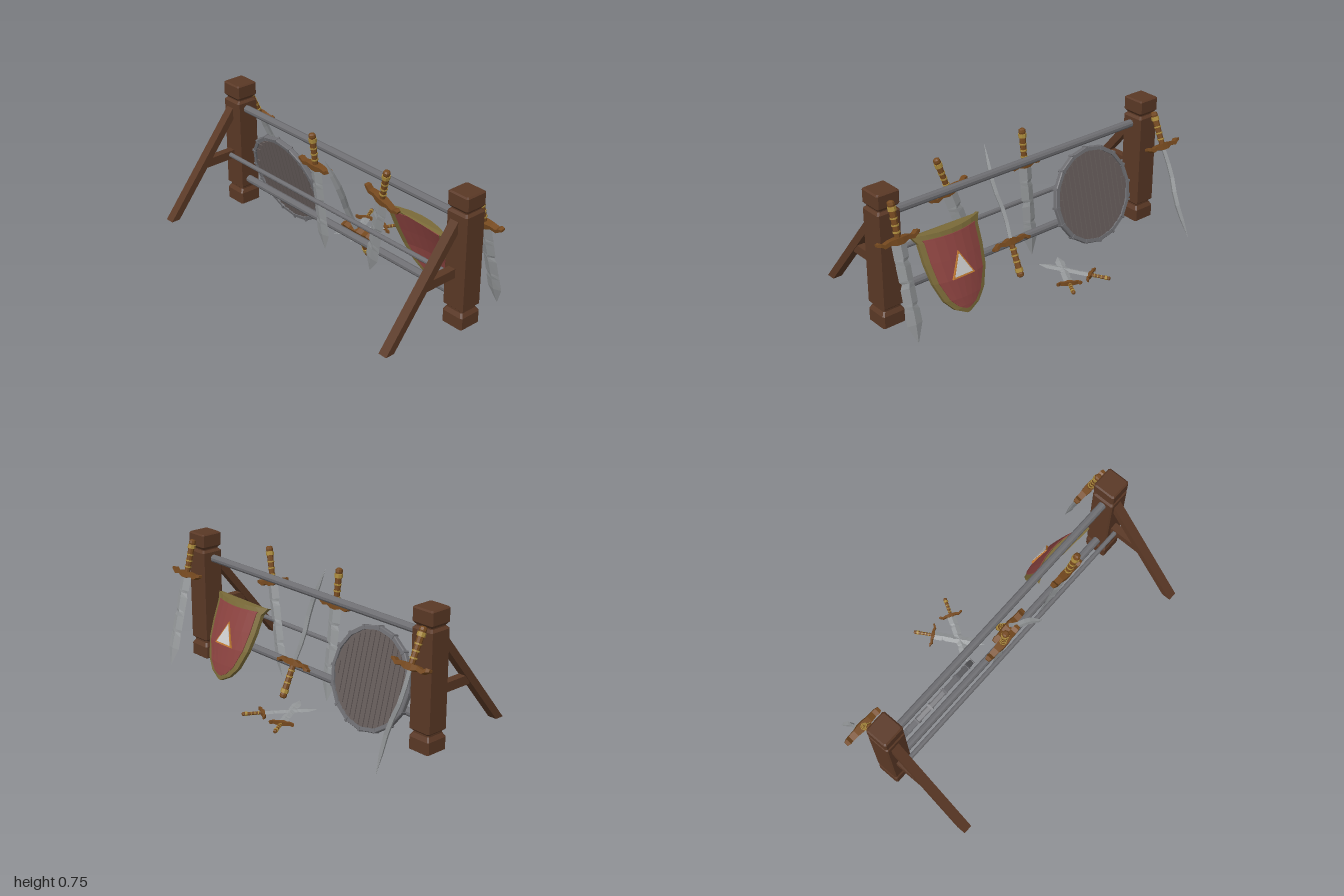
import * as THREE from 'three';

const mat = (color) => new THREE.MeshStandardMaterial({ color, flatShading: true });
const WOOD = mat(0x5a3825), GRIP = mat(0x75491f), GOLD = mat(0xa98a3c), STEEL = mat(0x95989a),
  IRON = mat(0x6e6e72), DARK = mat(0x655c5a), RED = mat(0x8c4340), BRASS = mat(0x7a6a38),
  WHITE = mat(0xd6d6d2), ORANGE = mat(0xc27a32);

function add(parent, name, geo, material, x = 0, y = 0, z = 0) {
  const m = new THREE.Mesh(geo, material);
  m.name = name;
  m.position.set(x, y, z);
  parent.add(m);
  return m;
}

// Skin a list of equal-length closed rings and cap both ends; faces always point outward.
function loft(rings) {
  const n = rings[0].length, pos = rings.flat(2), idx = [];
  for (let r = 0; r < rings.length - 1; r++) {
    for (let i = 0; i < n; i++) {
      const a = r * n + i, b = r * n + (i + 1) % n;
      idx.push(a, b, a + n, b, b + n, a + n);
    }
  }
  const last = (rings.length - 1) * n;
  for (let i = 1; i < n - 1; i++) idx.push(0, i + 1, i, last, last + i, last + i + 1);
  const p = (i) => new THREE.Vector3().fromArray(pos, i * 3);
  let volume = 0;
  for (let i = 0; i < idx.length; i += 3) volume += p(idx[i]).dot(p(idx[i + 1]).cross(p(idx[i + 2])));
  if (volume < 0) idx.reverse();
  const g = new THREE.BufferGeometry();
  g.setAttribute('position', new THREE.Float32BufferAttribute(pos, 3));
  g.setIndex(idx);
  g.computeVertexNormals();
  return g;
}

function extrude(points, depth) {
  const shape = new THREE.Shape(points.map(([x, y]) => new THREE.Vector2(x, y)));
  return new THREE.ExtrudeGeometry(shape, { depth, bevelEnabled: false }).translate(0, 0, -depth / 2);
}

// Square section with cut corners
const chamferedRing = (y, h, c = 0.008) => [[h, -h + c], [h, h - c], [h - c, h], [-h + c, h],
  [-h, h - c], [-h, -h + c], [-h + c, -h], [h - c, -h]].map(([x, z]) => [x, y, z]);

// Post with carved necks, plus its back strut and brace
function endFrame(z) {
  const g = new THREE.Group();
  g.name = 'endFrame';
  const profile = [[0.008, 0.058], [0.014, 0.066], [0.08, 0.066], [0.102, 0.053], [0.112, 0.053],
    [0.124, 0.066], [0.643, 0.066], [0.656, 0.053], [0.662, 0.053], [0.678, 0.066], [0.745, 0.066], [0.752, 0.058]];
  add(g, 'post', loft(profile.map(([y, h]) => chamferedRing(y, h))), WOOD, 0.0375, 0, z);
  add(g, 'backStrut', extrude([[-0.487, 0.04], [-0.435, 0.04], [-0.02, 0.55], [-0.02, 0.617]], 0.052), WOOD, 0, 0, z - 0.013);
  add(g, 'brace', new THREE.BoxGeometry(0.2, 0.05, 0.044), WOOD, -0.12, 0.32, z - 0.013);
  return g;
}

// Blade stations: [y, z centre, half size in z, half size in x]
const BROAD = [[0, 0, 0.043, 0.016], [-0.09, 0, 0.043, 0.016], [-0.105, 0.005, 0.036, 0.016],
  [-0.13, 0, 0.042, 0.016], [-0.2, 0, 0.041, 0.015], [-0.215, -0.006, 0.034, 0.015], [-0.24, 0, 0.042, 0.015],
  [-0.32, 0, 0.042, 0.014], [-0.335, 0.004, 0.037, 0.014], [-0.36, 0, 0.044, 0.013], [-0.43, 0, 0.045, 0.012], [-0.53, 0, 0.001, 0.001]];
const SABRE = [[0, 0, 0.01, 0.016], [-0.1, -0.007, 0.01, 0.018], [-0.18, -0.006, 0.01, 0.019], [-0.26, 0.006, 0.01, 0.02],
  [-0.34, 0.01, 0.009, 0.02], [-0.43, 0.003, 0.008, 0.016], [-0.53, -0.006, 0.001, 0.001]];

// Sword with its guard at the origin, grip up and blade down
function sword(name, stations, [x, y, z], [rx, ry, rz], scale = 1) {
  const g = new THREE.Group();
  g.name = name;
  add(g, 'blade', loft(stations.map(([sy, c, hz, hx]) => [[hx, sy, c], [0, sy, c + hz], [-hx, sy, c], [0, sy, c - hz]])), STEEL);

  // Wavy crossguard, mirrored about its middle
  const half = [[0.018, 0.001, 0.017, 0.022], [0.05, 0.006, 0.011, 0.018], [0.085, -0.002, 0.01, 0.017],
    [0.105, 0.012, 0.01, 0.017], [0.123, 0.014, 0.006, 0.012]];
  const bar = [...half.map(([a, ...r]) => [-a, ...r]).reverse(), ...half];
  add(g, 'crossguard', loft(bar.map(([gz, gy, h, d]) => [[d, gy - h, gz], [d, gy + h, gz], [-d, gy + h, gz], [-d, gy - h, gz]])), GRIP);

  add(g, 'grip', new THREE.CylinderGeometry(0.018, 0.015, 0.17, 8), GRIP, 0, 0.095, 0);
  for (const by of [0.045, 0.08, 0.115]) add(g, 'gripBand', new THREE.CylinderGeometry(0.0195, 0.0195, 0.008, 8), GOLD, 0, by, 0);
  add(g, 'pommelRing', new THREE.CylinderGeometry(0.022, 0.022, 0.022, 8), GOLD, 0, 0.162, 0);
  const knob = [[0, 0.17], [0.015, 0.17], [0.02, 0.182], [0.018, 0.196], [0.01, 0.202], [0, 0.202]];
  add(g, 'pommel', new THREE.LatheGeometry(knob.map(([r, ky]) => new THREE.Vector2(r, ky)), 8), GRIP);
  g.position.set(x, y, z);
  g.rotation.set(rx, ry, rz);
  g.scale.setScalar(scale);
  return g;
}

// Round shield: plank face in a sixteen-sided iron rim, facing +x
function roundShield() {
  const g = new THREE.Group();
  g.name = 'roundShield';
  const sides = 16, R = 0.275, r = 0.252, t = 0.015;
  const section = [[r, -t], [R - 0.004, -t], [R, -t + 0.005], [R, t - 0.005], [R - 0.004, t], [r, t], [r, -t]];
  const rim = new THREE.LatheGeometry(section.map(([a, b]) => new THREE.Vector2(a, b)), sides).rotateZ(-Math.PI / 2);
  add(g, 'rim', rim, IRON);
  add(g, 'backing', new THREE.CylinderGeometry(r + 0.004, r + 0.004, 0.01, sides).rotateZ(Math.PI / 2), DARK);
  const planks = 15, w = 2 * r / planks;
  for (let i = 0; i < planks; i++) {
    const z = -r + (i + 0.5) * w;
    const edge = Math.min(Math.abs(z) + w / 2, r * 0.99);
    const h = 2 * Math.sqrt(r * r - edge * edge);
    add(g, 'plank', new THREE.BoxGeometry(0.021, h, w * 0.84), DARK, 0, 0, z);
  }
  for (let i = 0; i < sides; i++) {
    const a = (i / sides) * Math.PI * 2;
    const stud = add(g, 'rimClamp', new THREE.BoxGeometry(0.036, 0.027, 0.012), IRON, 0, Math.cos(a) * 0.263, Math.sin(a) * 0.263);
    stud.rotation.x = a;
  }
  g.position.set(0.06, 0.274, -0.475);
  g.rotation.z = 0.245;
  return g;
}

// Heater shield: rows of [y, half width, x of the centre line], bowed across its width
function heaterShield() {
  const g = new THREE.Group();
  g.name = 'heaterShield';
  const plate = (rows, back, front) => loft(rows.map(([y, hw, xc]) => {
    const zs = [-1, -0.67, -0.33, 0, 0.33, 0.67, 1].map((k) => k * hw);
    const at = (z, d) => [xc - 0.045 * (z / 0.2) ** 2 + d, y + d * 0.3, z];
    return [...zs.map((z) => at(z, front)), ...zs.reverse().map((z) => at(z, back))];
  }));
  const outer = [[0.438, 0.212, 0.11], [0.4, 0.186, 0.125], [0.3, 0.182, 0.165], [0.2, 0.166, 0.202],
    [0.1, 0.125, 0.226], [0.045, 0.075, 0.236], [0.01, 0.008, 0.24]];
  const inner = [[0.414, 0.164, 0.1195], [0.4, 0.158, 0.125], [0.3, 0.153, 0.165], [0.2, 0.138, 0.202],
    [0.1, 0.094, 0.226], [0.055, 0.05, 0.234], [0.036, 0.012, 0.2365]];
  add(g, 'shieldBorder', plate(outer, -0.022, 0), BRASS);
  add(g, 'shieldField', plate(inner, -0.025, 0.003), RED);

  const emblem = new THREE.Group();
  emblem.name = 'triangleEmblem';
  const triangle = (s, d) => extrude([[-0.068 * s, -0.05 * s], [0.068 * s, -0.05 * s], [0, 0.085 * s]], d).rotateY(Math.PI / 2);
  add(emblem, 'emblemEdge', triangle(1, 0.014), ORANGE);
  add(emblem, 'emblemFace', triangle(0.82, 0.018), WHITE);
  emblem.position.set(0.185, 0.252, 0);
  emblem.rotation.z = 0.37;
  g.add(emblem);
  g.position.z = 0.537;
  return g;
}

export function createModel() {
  const model = new THREE.Group();
  model.name = 'weaponRack';
  model.add(endFrame(0.897), endFrame(-0.85));

  // Rails: [name, radius, x, y]
  for (const [name, r, x, y] of [['topRail', 0.022, 0.03, 0.605], ['middleRail', 0.013, -0.057, 0.325], ['bottomRail', 0.022, 0.03, 0.162]]) {
    add(model, name, new THREE.CylinderGeometry(r, r, 1.72, 10).rotateX(Math.PI / 2), IRON, x, y, 0.023);
  }

  model.add(roundShield(), heaterShield());
  model.add(
    sword('frontPostSword', BROAD, [0.172, 0.523, 0.9], [0, 0, 0.256]),
    sword('backPostSabre', SABRE, [0.198, 0.492, -0.875], [0, 0, 0.436]),
    sword('hangingSword', BROAD, [-0.06, 0.535, -0.087], [0, 0, 0.12]),
    sword('leaningSword', BROAD, [-0.06, 0.54, 0.42], [0.29, 0, 0.12]),
    sword('upturnedSabre', SABRE, [0.06, 0.19, 0.11], [0, 0, Math.PI + 0.433]),
    // Pair of crossed short swords on the ground
    sword('groundSword', BROAD, [0.385, 0.025, -0.165], [0, 0.52, -Math.PI / 2 - 0.02], 0.55),
    sword('groundSword', BROAD, [0.385, 0.032, -0.015], [0, -0.52, -Math.PI / 2 + 0.03], 0.55),
  );
  return model;
}
